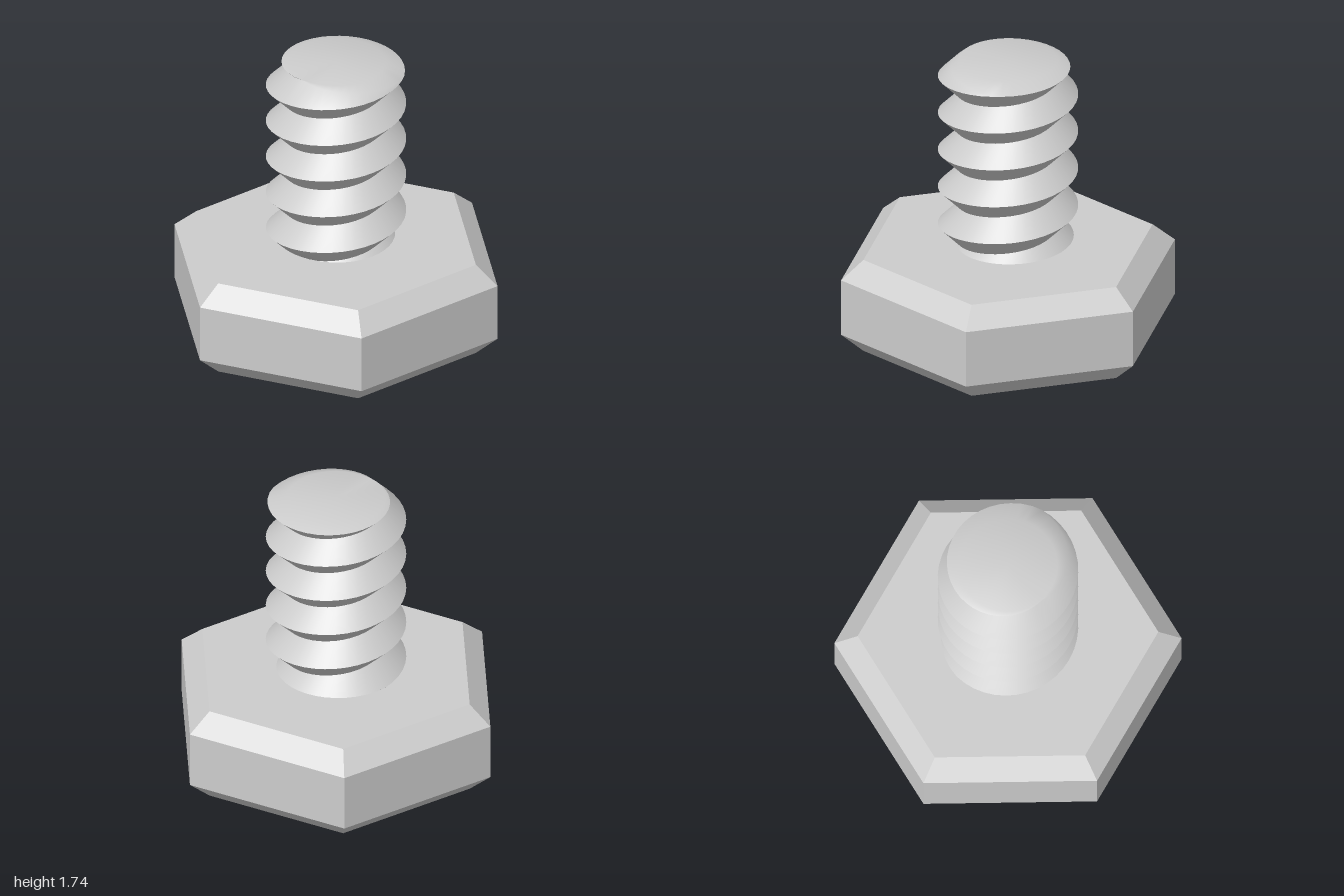
import * as THREE from 'three';
import { toCreasedNormals } from 'three/addons/utils/BufferGeometryUtils.js';

const PITCH = 0.235, ROOT = 0.29, CREST = 0.405;
const LOW = 0.58, TOP = 1.74, CONE = 0.38; // shaft ends and the slope of their chamfers
const FIRST_CREST = 0.695, SEGMENTS = 40;

// Thread radius: a triangular ridge that climbs one pitch per turn
function threadRadius(turn, y) {
  const t = (y - FIRST_CREST) / PITCH - turn;
  const d = Math.abs(t - Math.round(t)) * 2; // 0 on the crest, 1 in the root
  return CREST + (ROOT - CREST) * d;
}

// Height where the thread meets the shallow cone that trims one end
function trimHeight(turn, end, sign) {
  let a = end - 0.1, b = end + 0.1;
  for (let i = 0; i < 40; i++) {
    const m = (a + b) / 2;
    if (m + sign * CONE * (threadRadius(turn, m) - ROOT) < end) a = m;
    else b = m;
  }
  return (a + b) / 2;
}

// One upright cross-section of the shaft as [radius, height] pairs
function shaftColumn(turn) {
  const low = trimHeight(turn, LOW, -1), high = trimHeight(turn, TOP, 1);
  const column = [[0, LOW], [0.285, LOW]];
  for (let k = -4; k <= 10; k++) {
    const y = FIRST_CREST + PITCH * (turn + k / 2);
    const h = THREE.MathUtils.clamp(y, low, high);
    column.push([threadRadius(turn, h), h]);
  }
  column.push([0.285, TOP], [0, TOP]);
  return column;
}

function threadedShaftGeometry() {
  const columns = [];
  for (let i = 0; i <= SEGMENTS; i++) {
    const turn = i / SEGMENTS, a = turn * Math.PI * 2;
    columns.push(shaftColumn(turn).map(([r, y]) => new THREE.Vector3(r * Math.sin(a), y, r * Math.cos(a))));
  }
  const positions = [];
  const tri = new THREE.Triangle();
  const addTriangle = (a, b, c) => {
    if (tri.set(a, b, c).getArea() < 1e-7) return; // trimmed away
    for (const p of [a, b, c]) positions.push(p.x, p.y, p.z);
  };
  for (let i = 0; i < SEGMENTS; i++) {
    const p = columns[i], q = columns[i + 1];
    for (let k = 0; k < p.length - 1; k++) {
      addTriangle(p[k], q[k], q[k + 1]);
      addTriangle(p[k], q[k + 1], p[k + 1]);
    }
  }
  const geometry = new THREE.BufferGeometry();
  geometry.setAttribute('position', new THREE.Float32BufferAttribute(positions, 3));
  return toCreasedNormals(geometry, 0.6);
}

// Six-sided head with bevelled upper and lower rims
function headGeometry() {
  const profile = [[0, 0], [0.866, 0], [1, 0.12], [1, 0.467], [0.866, 0.58], [0, 0.58]]
    .map(([r, y]) => new THREE.Vector2(r, y));
  return toCreasedNormals(new THREE.LatheGeometry(profile, 6, Math.PI / 2), 0.2);
}

export function createModel() {
  const steel = new THREE.MeshStandardMaterial({ color: 0xcccccc });
  steel.name = 'steel grey';

  const group = new THREE.Group();
  group.name = 'bolt';

  const head = new THREE.Mesh(headGeometry(), steel);
  head.name = 'hexHead';

  const shaft = new THREE.Mesh(threadedShaftGeometry(), steel);
  shaft.name = 'threadedShaft';

  group.add(head, shaft);
  return group;
}
